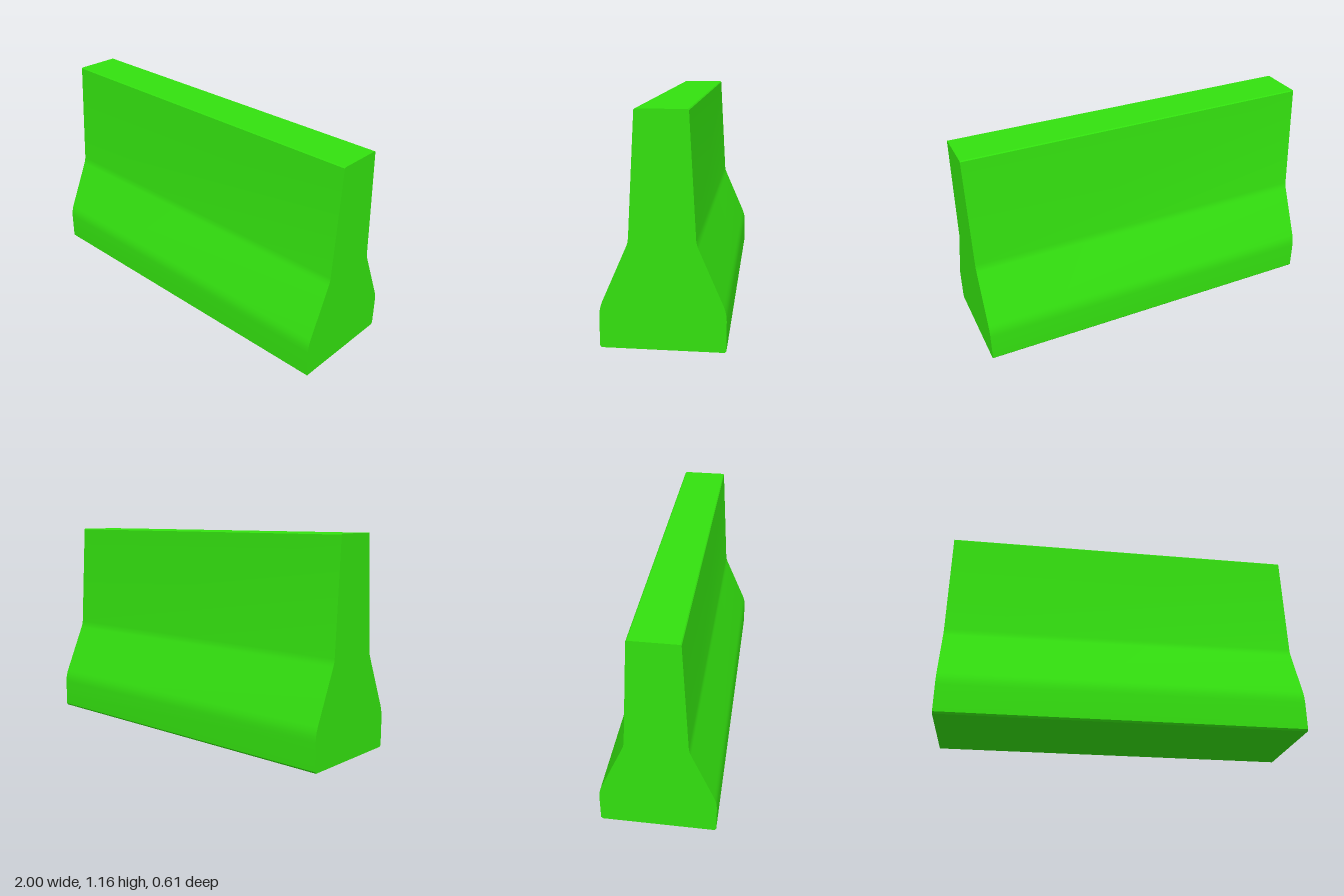
import * as THREE from 'three';
import { toCreasedNormals } from 'three/addons/utils/BufferGeometryUtils.js';

const LENGTH = 2;

// One side of the cross-section, from the base to the top: [half depth, height]
const PROFILE = [
  [0.298, 0], [0.307, 0.01],
  [0.307, 0.16], [0.305, 0.187], [0.3, 0.21], [0.292, 0.233],
  [0.172, 0.508], [0.165, 0.526], [0.161, 0.55],
  [0.127, 1.155], [0.122, 1.16],
];

export function createModel() {
  const model = new THREE.Group();
  model.name = 'roadBarrier';

  // Mirror the profile into a closed outline
  const left = PROFILE.map(([d, y]) => new THREE.Vector2(-d, y)).reverse();
  const right = PROFILE.map(([d, y]) => new THREE.Vector2(d, y));
  const outline = new THREE.Shape([...right, ...left]);

  // Run the outline along the length of the barrier
  const geometry = new THREE.ExtrudeGeometry(outline, { depth: LENGTH, bevelEnabled: false });
  geometry.translate(0, 0, -LENGTH / 2);
  geometry.rotateY(Math.PI / 2);

  const body = new THREE.Mesh(
    toCreasedNormals(geometry, 0.5),
    new THREE.MeshStandardMaterial({ color: 0x33e00f }),
  );
  body.name = 'barrierBody';
  model.add(body);
  return model;
}
